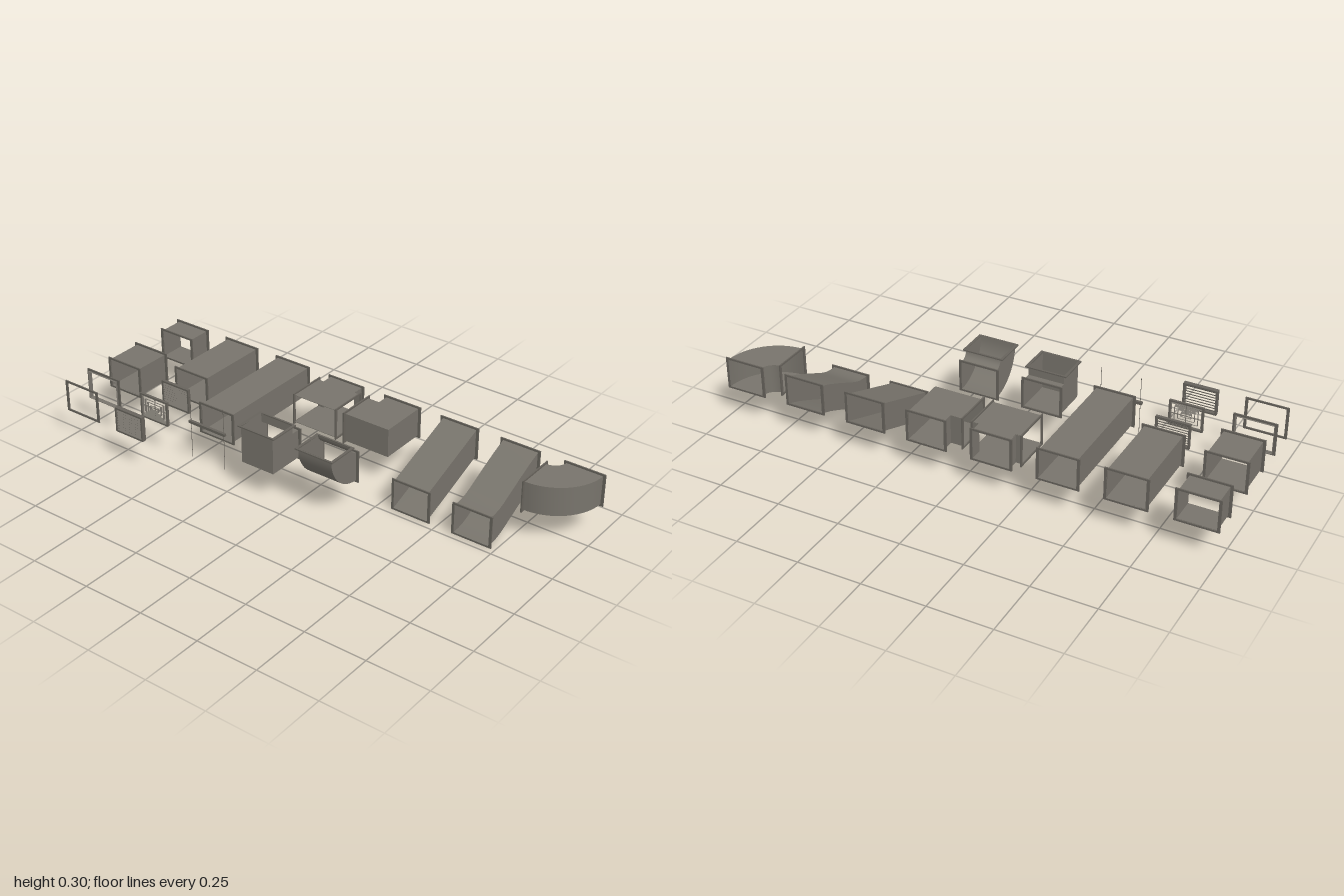
import * as THREE from 'three';

const W = 0.147, H = 0.117, MID = 0.187;       // duct bore and centre height
const steel = new THREE.MeshStandardMaterial({ color: 0x78746c, side: THREE.DoubleSide });
steel.name = 'galvanised steel';
const darkSteel = new THREE.MeshStandardMaterial({ color: 0x67635c, side: THREE.DoubleSide });
darkSteel.name = 'flange steel';

const v = (x, y, z) => new THREE.Vector3(x, y, z);

function part(parent, name, geometry, material, x = 0, y = 0, z = 0) {
  const mesh = new THREE.Mesh(geometry, material);
  mesh.name = name;
  mesh.position.set(x, y, z);
  parent.add(mesh);
  return mesh;
}

function section(parent, name) {
  const g = new THREE.Group();
  g.name = name;
  parent.add(g);
  return g;
}

const box = (parent, name, w, h, d, x, y, z, material = steel) =>
  part(parent, name, new THREE.BoxGeometry(w, h, d), material, x, y, z);

// Sheet-metal tube through stations [a, b], each widened by +-side; its four corners stay sharp
function tube(parent, stations, side, flat = false) {
  const pos = [], index = [];
  const loops = stations.map(([a, b]) => [
    a.clone().sub(side), a.clone().add(side), b.clone().add(side), b.clone().sub(side)]);
  for (let k = 0; k < 4; k++) {
    const base = pos.length / 3;
    loops.forEach((l, i) => {
      pos.push(...l[k].toArray(), ...l[(k + 1) % 4].toArray());
      const q = base + 2 * i;
      if (i) index.push(q - 2, q - 1, q, q - 1, q + 1, q);
    });
  }
  let geo = new THREE.BufferGeometry();
  geo.setAttribute('position', new THREE.Float32BufferAttribute(pos, 3));
  geo.setIndex(index);
  if (flat) geo = geo.toNonIndexed();
  geo.computeVertexNormals();
  return part(parent, 'ductWalls', geo, steel);
}

// Rectangular ring in the XY plane
function ring(w, h, rimX, rimY, depth) {
  const rect = (P, a, b) => new P().moveTo(-a, -b).lineTo(a, -b).lineTo(a, b).lineTo(-a, b).closePath();
  const shape = rect(THREE.Shape, w / 2, h / 2);
  shape.holes.push(rect(THREE.Path, w / 2 - rimX, h / 2 - rimY));
  return new THREE.ExtrudeGeometry(shape, { depth, bevelEnabled: false }).translate(0, 0, -depth / 2);
}

// Bolted flange facing along the given axis
function flange(parent, x, y, z, axis = 'z') {
  const m = part(parent, 'flange', ring(0.168, 0.132, 0.0105, 0.0075, 0.005), darkSteel, x, y, z);
  if (axis === 'x') m.rotation.y = Math.PI / 2;
  if (axis === 'y') m.rotation.x = Math.PI / 2;
}

const SIDE_X = v(W / 2, 0, 0), SIDE_Y = v(0, H / 2, 0);

// Run along z given [z, centre height] stations
function run(root, name, x, stations, flanged = true) {
  const g = section(root, name);
  tube(g, stations.map(([z, y]) => [v(x, y - H / 2, z), v(x, y + H / 2, z)]), SIDE_X);
  if (flanged) for (const [z, y] of [stations[0], stations[stations.length - 1]])
    flange(g, x, y, z + (z === stations[0][0] ? 0.0025 : -0.0025));
  return g;
}

// Louvred panel: rim with slats sloping down to the front
function louvre(root, name, z, depth, count, tilt) {
  const g = section(root, name);
  g.position.set(-0.653, MID, z);
  part(g, 'rim', ring(0.136, 0.104, 0.007, 0.007, depth), darkSteel);
  for (let i = 0; i < count; i++) {
    const y = -0.045 + (i + 0.5) * 0.09 / count;
    box(g, 'slat', 0.124, 0.0012, depth * 1.05, 0, y, 0).rotation.x = tilt;
  }
}

export function createModel() {
  const root = new THREE.Group();
  root.name = 'ductKit';

  // Straight ducts
  run(root, 'shortDuct', -0.915, [[-0.34, MID], [-0.235, MID]]);
  run(root, 'mediumDuct', -0.915, [[-0.085, MID], [0.075, MID]]);
  run(root, 'longDuct', -0.655, [[-0.34, MID], [-0.025, MID]]);
  run(root, 'longestDuct', -0.395, [[-0.34, MID], [0.13, MID]]);

  // Loose collar and loose flange
  const collar = run(root, 'collar', -0.915, [[0.181, MID], [0.201, MID]], false);
  flange(collar, -0.915, MID, 0.191);
  flange(section(root, 'looseFlange'), -0.915, MID, 0.312);

  // Grilles
  louvre(root, 'rearGrille', 0.066, 0.012, 9, 0.75);
  louvre(root, 'frontGrille', 0.327, 0.018, 8, 0.7);

  // Four-way diffuser: nested sloping square rings
  const diffuser = section(root, 'fourWayDiffuser');
  diffuser.position.set(-0.653, MID, 0.19);
  part(diffuser, 'rim', ring(0.136, 0.104, 0.006, 0.006, 0.01), darkSteel);
  for (let i = 0; i < 4; i++) {
    const w = 0.118 - i * 0.026, h = 0.088 - i * 0.022;
    tube(diffuser, [
      [v(0, -h / 2 + 0.004, -0.005), v(0, h / 2 - 0.004, -0.005)],
      [v(0, -h / 2, 0.005), v(0, h / 2, 0.005)]], v(w / 2, 0, 0)).name = 'diffuserRing';
  }
  box(diffuser, 'crossBar', 0.126, 0.002, 0.004, 0, 0, -0.003);
  box(diffuser, 'uprightBar', 0.002, 0.094, 0.004, 0, 0, -0.003);

  // Trapeze hanger: one bar on two thin rods
  const hanger = section(root, 'hanger');
  box(hanger, 'hangerBar', 0.175, 0.011, 0.011, -0.394, 0.193, 0.184, darkSteel);
  for (const s of [-1, 1])
    part(hanger, 'hangerRod', new THREE.CylinderGeometry(0.001, 0.001, 0.26, 6), darkSteel,
      -0.394 + s * 0.08, 0.17, 0.184);

  // Tee with side and back necks
  const tee = section(root, 'teeDuct');
  const tx = -0.133;
  for (const y of [MID - H / 2, MID + H / 2]) {
    box(tee, 'teeSheet', 0.196, 0.002, 0.152, tx, y, -0.214);
    box(tee, 'neckSheet', W, 0.002, 0.05, tx, y, -0.315);
  }
  for (const s of [-1, 1]) {
    box(tee, 'neckWall', 0.002, H, 0.05, tx + s * W / 2, MID, -0.315);
    box(tee, 'sideNeckWall', 0.025, H, 0.002, tx + s * 0.0855, MID, -0.29);
    flange(tee, tx + s * 0.099, MID, -0.2165, 'x');
  }
  flange(tee, tx, MID, -0.3375);

  // Mitred flat elbow, turning from the back to the right side
  const mitre = section(root, 'mitredElbow');
  tube(mitre, [
    [v(0.057, MID, -0.34), v(0.204, MID, -0.34)],
    [v(0.057, MID, -0.288), v(0.204, MID, -0.141)],
    [v(0.004, MID, -0.288), v(0.004, MID, -0.141)]], SIDE_Y, true);
  flange(mitre, 0.1305, MID, -0.3375);
  flange(mitre, 0.0055, MID, -0.2145, 'x');

  // Curved flat elbow
  const N = 16, bend = section(root, 'curvedElbow');
  const arc = [];
  for (let i = 0; i <= N; i++) {
    const a = i / N * Math.PI / 2;
    const at = r => v(0.788 + r * Math.cos(a), MID, -0.34 + r * Math.sin(a));
    arc.push([at(0.0535), at(0.2005)]);
  }
  tube(bend, arc, SIDE_Y);
  flange(bend, 0.915, MID, -0.3375);
  flange(bend, 0.7855, MID, -0.213, 'x');

  // Rising elbows: one mitred, one curved
  const top = 0.283, floor = MID - H / 2, ceil = MID + H / 2;
  const rise = (name, x, stations, flat) => {
    const g = section(root, name);
    tube(g, stations(x), SIDE_X, flat);
    flange(g, x, MID, 0.0575);
    flange(g, x, top - 0.0025, 0.1515, 'y');
  };
  rise('mitredRiser', -0.133, x => [
    [v(x, ceil, 0.055), v(x, floor, 0.055)],
    [v(x, ceil, 0.093), v(x, floor, 0.21)],
    [v(x, top, 0.093), v(x, top, 0.21)]], true);
  rise('curvedRiser', 0.1305, x => Array.from({ length: N + 1 }, (_, i) => {
    const a = i / N * Math.PI / 2;
    const at = r => v(x, top - r * Math.cos(a), 0.055 + r * Math.sin(a));
    return [at(top - ceil), at(top - floor)];
  }), false);

  // Offset ducts dropping towards the front
  const LOW = 0.0665;
  run(root, 'straightOffset', 0.388, [[-0.34, MID], [-0.025, LOW]]);
  run(root, 'curvedOffset', 0.65, [[-0.34, MID], [-0.28, 0.164], [-0.215, 0.134],
    [-0.15, 0.102], [-0.115, 0.085], [-0.085, 0.0735], [-0.055, 0.068], [-0.025, LOW]]);

  return root;
}
